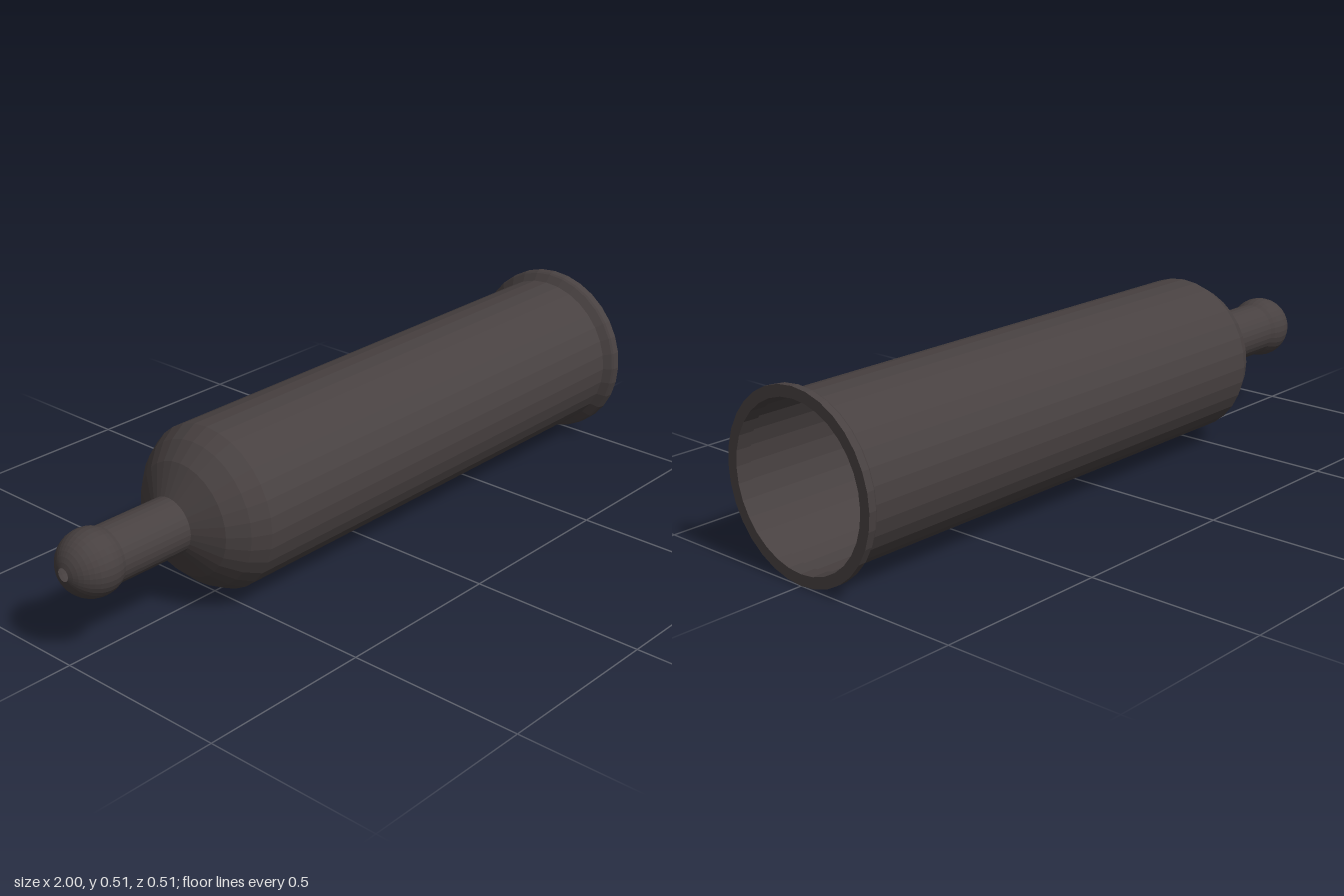
import * as THREE from 'three';

const SIDES = 32;
const AXIS_Y = 0.254;

export function createModel() {
  const model = new THREE.Group();
  model.name = 'hollowTube';
  const metal = new THREE.MeshStandardMaterial({ color: 0x484141, flatShading: true, side: THREE.DoubleSide });
  metal.name = 'dark metal';

  // Turns a profile of [x, radius] points around the long x axis
  function turned(name, profile) {
    const points = profile.map(([x, r]) => new THREE.Vector2(r, x));
    const geometry = new THREE.LatheGeometry(points, SIDES);
    geometry.rotateZ(-Math.PI / 2);
    geometry.translate(0, AXIS_Y, 0);
    const mesh = new THREE.Mesh(geometry, metal);
    mesh.name = name;
    model.add(mesh);
  }

  // Ball tip, open at the far end with a small hole and at the neck
  const ballRadius = 0.09, ballX = -0.911;
  const start = Math.asin(0.018 / ballRadius);
  const end = Math.PI - Math.asin(0.078 / ballRadius);
  const ball = [];
  for (let i = 0; i <= 12; i++) {
    const a = start + (end - start) * i / 12;
    ball.push([ballX - ballRadius * Math.cos(a), ballRadius * Math.sin(a)]);
  }
  turned('ballTip', ball);

  // Narrow neck
  turned('neck', [[ball[12][0], 0.078], [-0.65, 0.078]]);

  // Rounded shoulder
  turned('shoulder', [[-0.65, 0.078], [-0.605, 0.158], [-0.558, 0.202], [-0.51, 0.228]]);

  // Straight barrel
  turned('barrel', [[-0.51, 0.228], [0.955, 0.228]]);

  // Flared rim with a flat lip and an inner lining
  turned('rim', [[0.955, 0.228], [0.972, 0.249], [0.978, 0.253], [1, 0.254], [1, 0.223], [0.955, 0.223], [0.955, 0.228]]);

  return model;
}
